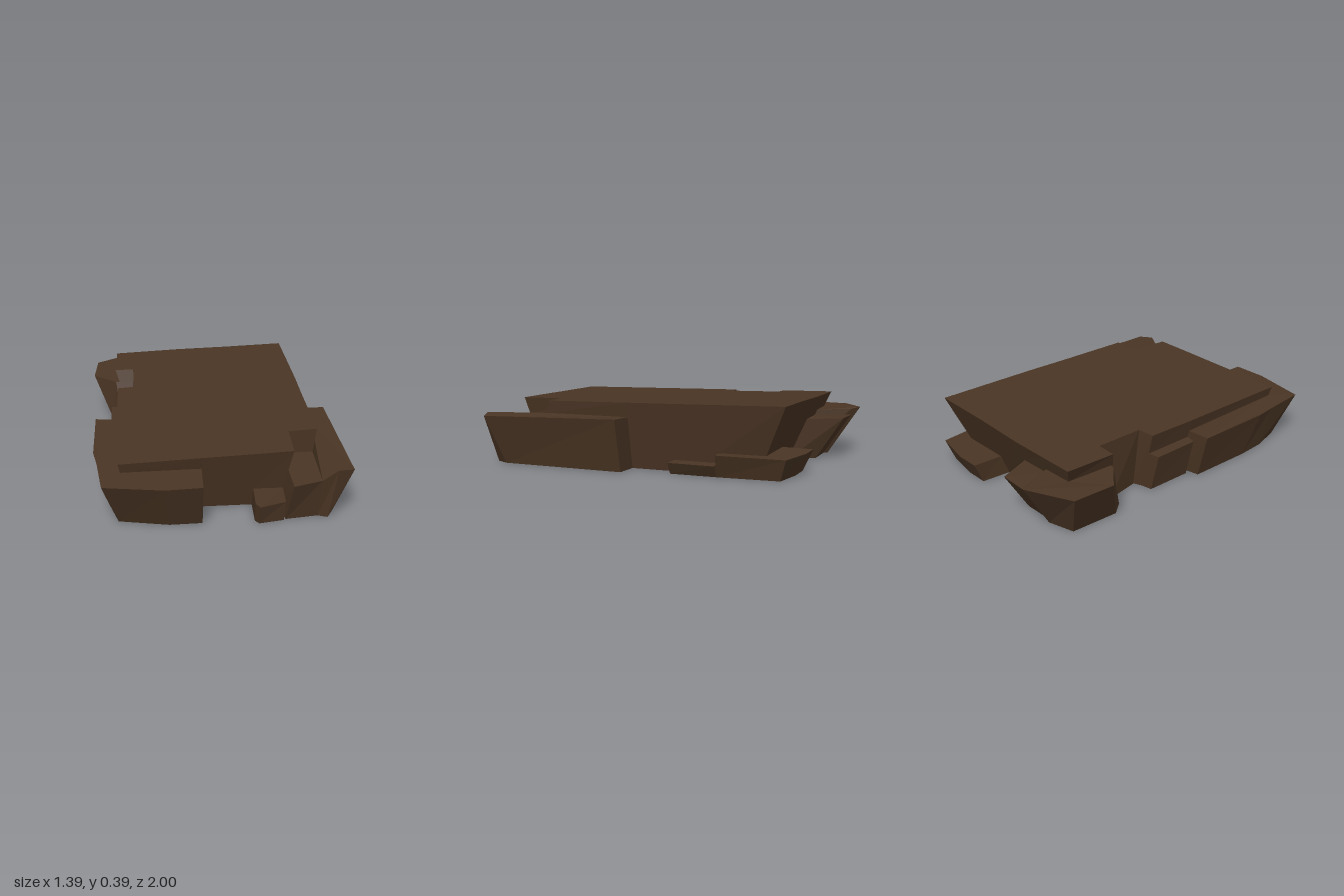
import * as THREE from 'three';

// Height of the gently tilted top plate
const plateY = (x, z) => 0.352 + 0.0385 * x - 0.0245 * z;

// Plate rim, clockwise from above: top x, z, floor x, z, height where the wall to the next point ends
const rim = {
  backMid: [-0.16, -0.82, -0.13, -0.66, 0],
  backStep: [0.15, -0.82, 0.15, -0.66, 0.12],
  backLeft: [0.505, -0.83, 0.42, -0.66, 0.12],
  leftLow: [0.52, -0.46, 0.44, -0.45, 0.065],
  leftMid: [0.53, -0.2, 0.45, -0.2, 0],
  leftFront: [0.535, 0.05, 0.46, 0.05, 0.29],
  notchOut: [0.55, 0.52, 0.5, 0.51, 0.225],
  notchIn: [0.395, 0.53, 0.36, 0.52, 0.225],
  notchFront: [0.395, 0.77, 0.33, 0.68, 0.11],
  frontStep: [0.2, 0.78, 0.19, 0.68, 0],
  frontMid: [-0.08, 0.79, -0.08, 0.69, 0.26],
  frontRight: [-0.505, 0.81, -0.45, 0.72, 0.26],
  rightFront: [-0.53, 0.1, -0.46, 0.1, 0.22],
  rightMid: [-0.535, -0.2, -0.46, -0.2, 0],
  bayFront: [-0.44, -0.21, -0.41, -0.22, 0],
  bayBack: [-0.45, -0.5, -0.45, -0.42, 0.265],
  rightBack: [-0.56, -0.5, -0.45, -0.42, 0.265],
  backRight: [-0.56, -0.8, -0.4, -0.66, 0.265],
  backLedge: [-0.36, -0.81, -0.3, -0.66, 0.235],
};

// Block point: top x, z, y, floor x, z
const P = (x, z, y, fx, fz) => ({ top: [x, y, z], floor: [fx, 0, fz] });

// Point on the sloping plate wall at height y
function at(key, y) {
  const [x, z, fx, fz] = rim[key];
  const t = y / plateY(x, z);
  return P(fx + (x - fx) * t, fz + (z - fz) * t, y, fx, fz);
}

// Wall quad between two top corners and two lower corners
const quad = (out, a, b, c, d) => out.push(...a, ...b, ...c, ...a, ...c, ...d);

// Upward-facing polygon
function cap(out, pts) {
  const flat = pts.map(([x, , z]) => new THREE.Vector2(x, z));
  for (const [i, j, k] of THREE.ShapeUtils.triangulateShape(flat, [])) {
    const [a, b, c] = [pts[i], pts[j], pts[k]];
    const up = (b[2] - a[2]) * (c[0] - a[0]) - (b[0] - a[0]) * (c[2] - a[2]);
    out.push(...a, ...(up > 0 ? b : c), ...(up > 0 ? c : b));
  }
}

function toMesh(name, positions, material) {
  const geo = new THREE.BufferGeometry();
  geo.setAttribute('position', new THREE.Float32BufferAttribute(positions, 3));
  geo.computeVertexNormals();
  const mesh = new THREE.Mesh(geo, material);
  mesh.name = name;
  return mesh;
}

// Block hugging the plate: walls along the path, ledges on top (default: path plus inner points)
function block(name, path, inner, material, ledges) {
  const out = [];
  for (let i = 0; i + 1 < path.length; i++) {
    const a = path[i], b = path[i + 1];
    quad(out, a.top, b.top, b.floor, a.floor);
  }
  const all = [...path, ...inner].map((p) => p.top);
  for (const ids of ledges || [all.map((_, i) => i)]) cap(out, ids.map((i) => all[i]));
  return toMesh(name, out, material);
}

export function createModel() {
  const group = new THREE.Group();
  group.name = 'rockSlab';
  const rock = new THREE.MeshStandardMaterial({ color: 0x4a3524 });
  rock.name = 'darkBrownRock';
  rock.side = THREE.DoubleSide;
  rock.flatShading = true;

  // Top plate
  const keys = Object.keys(rim);
  const plate = [];
  cap(plate, keys.map((k) => [rim[k][0], plateY(rim[k][0], rim[k][1]), rim[k][1]]));
  group.add(toMesh('topPlate', plate, rock));

  // Plate walls, stopping where a block's ledge meets them
  const walls = [];
  keys.forEach((k, i) => {
    const next = keys[(i + 1) % keys.length];
    const full = (key) => at(key, plateY(rim[key][0], rim[key][1])).top;
    const low = rim[k][4];
    quad(walls, full(k), full(next), at(next, low).top, at(k, low).top);
  });
  group.add(toMesh('plateWalls', walls, rock));

  // Front blocks
  group.add(block('frontRightBlock', [
    at('frontMid', 0.26), P(-0.08, 0.985, 0.26, -0.08, 0.87), P(-0.27, 0.995, 0.255, -0.25, 0.88),
    P(-0.585, 0.94, 0.25, -0.51, 0.83), P(-0.62, 0.68, 0.255, -0.56, 0.66),
    P(-0.645, 0.55, 0.26, -0.575, 0.5), P(-0.655, 0.1, 0.265, -0.575, 0.12), at('rightFront', 0.26),
  ], [at('frontRight', 0.26)], rock));
  group.add(block('frontLeftBlock', [
    at('leftFront', 0.29), P(0.66, 0.06, 0.295, 0.59, 0.06), P(0.695, 0.85, 0.275, 0.605, 0.77),
    P(0.61, 0.88, 0.285, 0.57, 0.84), P(0.53, 0.87, 0.225, 0.52, 0.82),
    P(0.38, 0.92, 0.22, 0.35, 0.85), at('notchFront', 0.225),
  ], [at('notchIn', 0.225), at('notchOut', 0.225), at('notchOut', 0.29)], rock,
  [[0, 1, 2, 3, 9], [9, 3, 4, 8], [8, 4, 5, 6, 7]]));
  group.add(block('frontLowStep', [
    at('notchFront', 0.11), P(0.345, 0.88, 0.115, 0.34, 0.86), P(0.21, 0.925, 0.11, 0.21, 0.89),
    P(0.19, 0.88, 0.11, 0.19, 0.86), at('frontStep', 0.11),
  ], [], rock));

  // Low back-left blocks
  group.add(block('backLeftBlock', [
    at('backStep', 0.12), P(0.155, -0.885, 0.12, 0.16, -0.83), P(0.3, -0.885, 0.12, 0.3, -0.83),
    P(0.52, -0.84, 0.12, 0.48, -0.8), P(0.56, -0.47, 0.125, 0.51, -0.46), at('leftLow', 0.12),
  ], [at('backLeft', 0.12)], rock));
  group.add(block('leftLowStep', [
    at('leftLow', 0.065), P(0.55, -0.46, 0.065, 0.51, -0.46),
    P(0.555, -0.2, 0.065, 0.52, -0.2), at('leftMid', 0.065),
  ], [], rock));

  // High back-right blocks
  group.add(block('backRightBlock', [
    at('bayBack', 0.265), P(-0.56, -0.5, 0.265, -0.52, -0.425), P(-0.7, -0.62, 0.265, -0.58, -0.5),
    P(-0.69, -0.865, 0.265, -0.57, -0.78), P(-0.455, -1, 0.28, -0.42, -0.82),
    P(-0.42, -0.955, 0.27, -0.4, -0.8), at('backLedge', 0.265),
  ], [at('backRight', 0.265), at('rightBack', 0.265)], rock));
  group.add(block('backStepBlock', [
    at('backLedge', 0.235), P(-0.42, -0.955, 0.235, -0.4, -0.8),
    P(-0.23, -0.955, 0.24, -0.22, -0.8), at('backMid', 0.235),
  ], [], rock));

  // Small block on the right side
  group.add(block('rightSideBlock', [
    at('rightFront', 0.22), P(-0.57, 0.08, 0.22, -0.52, 0.08),
    P(-0.575, -0.19, 0.22, -0.52, -0.19), at('rightMid', 0.22),
  ], [], rock));

  return group;
}
